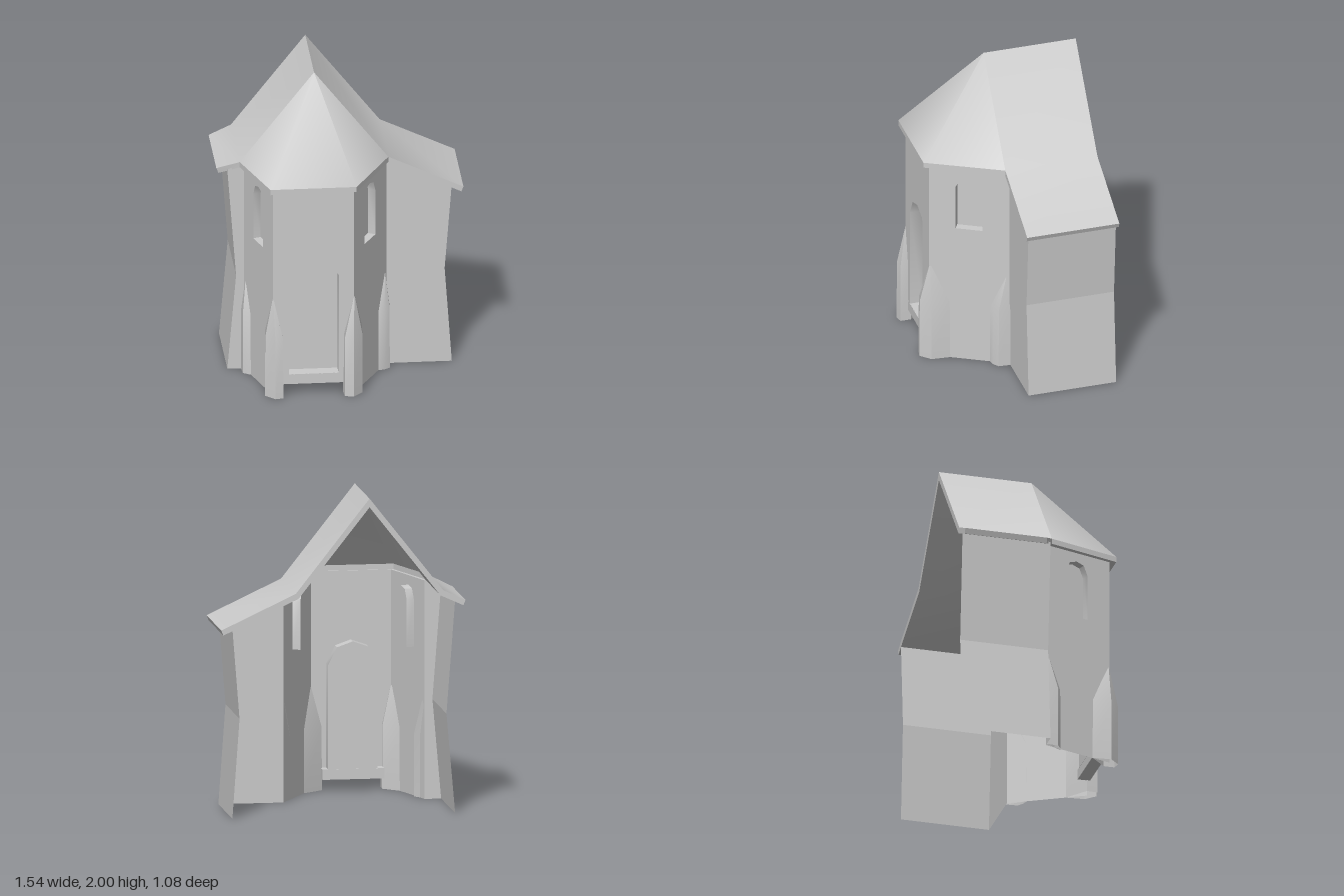
import * as THREE from 'three';
import { toCreasedNormals } from 'three/addons/utils/BufferGeometryUtils.js';

const material = new THREE.MeshStandardMaterial({ color: 0xcccccc, side: THREE.DoubleSide });

function part(name, geometry, parent) {
  const mesh = new THREE.Mesh(geometry, material);
  mesh.name = name;
  parent.add(mesh);
  return mesh;
}

// Skin over a stack of rings; points run left to right seen from outside, rings go upwards
function loft(rings, closed = false, crease = 0.6) {
  const n = rings[0].length, index = [];
  for (let k = 0; k < rings.length - 1; k++) {
    for (let i = 0; i < (closed ? n : n - 1); i++) {
      const a = k * n + i, b = k * n + (i + 1) % n;
      index.push(a, b, b + n, a, b + n, a + n);
    }
  }
  const geometry = new THREE.BufferGeometry();
  geometry.setAttribute('position', new THREE.Float32BufferAttribute(rings.flat(2), 3));
  geometry.setIndex(index);
  return toCreasedNormals(geometry, crease);
}

const outline = (points) => points.map(([x, y]) => new THREE.Vector2(x, y));

// Upright wall between two plan points [x, z], with an optional arched niche sunk into it
function nicheWall(name, a, b, bottom, top, niche, depth, parent) {
  const dx = b[0] - a[0], dz = b[1] - a[1], width = Math.hypot(dx, dz);
  const wall = new THREE.Group();
  wall.name = name;
  wall.position.set(a[0], 0, a[1]);
  wall.rotation.y = Math.atan2(-dz, dx);
  const shape = new THREE.Shape(outline([[0, bottom], [width, bottom], [width, top], [0, top]]));
  shape.holes.push(new THREE.Path(outline(niche)));
  part('wallPanel', new THREE.ShapeGeometry(shape), wall);
  const ring = (z) => niche.map(([x, y]) => [x, y, z]);
  part('nicheReveal', loft([ring(0), ring(-depth)], true), wall);
  part('nicheBack', new THREE.ShapeGeometry(new THREE.Shape(outline(niche))), wall).position.z = -depth;
  parent.add(wall);
}

// Arched opening outline centred on x = c
const arch = (c, half, sill, spring, shoulder, peak) => [
  [c - half, sill], [c + half, sill], [c + half, spring], [c + half * 0.64, shoulder],
  [c, peak], [c - half * 0.64, shoulder], [c - half, spring],
];

// Buttress: straight to y = 0.4, then shrinking into the wall at the given plan point
function buttress(name, plan, [tx, tz], top, parent) {
  const ring = (y, s) => plan.map(([x, z]) => [tx + (x - tx) * s, y, tz + (z - tz) * s]);
  part(name, loft([ring(0, 1), ring(0.4, 0.97), ring(top, 0.06)], true), parent);
}

export function createModel() {
  const model = new THREE.Group();
  model.name = 'house';
  const back = -0.54, wallZ = 0.03;
  const backLeft = [-0.60, wallZ], frontLeft = [-0.46, 0.48];
  const frontRight = [0.045, 0.48], backRight = [0.29, wallZ];

  // House side walls, pinched at the waist
  const sides = { rightSideWall: [[0.70, 0], [0.655, 0.63], [0.70, 1.2]],
    leftSideWall: [[-0.705, 0], [-0.65, 0.63], [-0.705, 1.35]] };
  for (const [name, profile] of Object.entries(sides)) {
    const ends = profile[0][0] > 0 ? [wallZ, back] : [back, wallZ];
    part(name, loft(profile.map(([x, y]) => ends.map((z) => [x, y, z])), false, 0.1), model);
  }

  // House front walls beside the bay
  const fronts = {
    frontWallRight: [[0.29, 0], ...sides.rightSideWall, [0.29, 1.385]],
    frontWallLeft: [[-0.60, 0], [-0.60, 1.39], ...[...sides.leftSideWall].reverse()],
  };
  for (const [name, points] of Object.entries(fronts)) {
    part(name, new THREE.ShapeGeometry(new THREE.Shape(outline(points))), model).position.z = wallZ;
  }

  // Bay: front with the door niche, slanted sides with window niches
  const bay = new THREE.Group();
  bay.name = 'bay';
  model.add(bay);
  nicheWall('doorWall', frontLeft, frontRight, 0.075, 1.38,
    arch(0.255, 0.155, 0.14, 0.8, 0.91, 0.945), 0.08, bay);
  nicheWall('bayRightWall', frontRight, backRight, 0, 1.38,
    arch(0.255, 0.085, 0.94, 1.24, 1.305, 1.32), 0.05, bay);
  nicheWall('bayLeftWall', backLeft, frontLeft, 0, 1.38,
    arch(0.23, 0.08, 0.94, 1.24, 1.305, 1.32), 0.05, bay);
  const sill = part('doorStep', new THREE.BoxGeometry(0.39, 0.065, 0.08), bay);
  sill.position.set(-0.21, 0.107, 0.441);

  // Corner buttresses
  buttress('frontRightButtress',
    [[-0.02, 0.46], [-0.015, 0.53], [0.04, 0.54], [0.10, 0.48], [0.11, 0.36]], [0.05, 0.475], 0.65, bay);
  buttress('frontLeftButtress',
    [[-0.50, 0.36], [-0.51, 0.48], [-0.45, 0.54], [-0.40, 0.53], [-0.40, 0.46]], [-0.46, 0.475], 0.65, bay);
  buttress('backRightButtress',
    [[0.23, 0.14], [0.27, 0.13], [0.305, 0.105], [0.31, 0.03]], [0.28, 0.045], 0.62, bay);
  buttress('backLeftButtress',
    [[-0.62, 0.03], [-0.615, 0.105], [-0.58, 0.13], [-0.55, 0.14]], [-0.59, 0.045], 0.62, bay);

  // Bay roof: half pyramid with a narrow fascia
  const apex = [-0.165, 2, 0.06];
  const eave = [[-0.63, 0.06], [-0.48, 0.52], [0.06, 0.52], [0.30, 0.06]];
  const eaveRing = (y) => eave.map(([x, z]) => [x, y, z]);
  part('bayRoof', loft([eaveRing(1.41), eave.map(() => apex)], false, 1.2), bay);
  part('bayRoofFascia', loft([eaveRing(1.375), eaveRing(1.41)]), bay);
  // Soffit between the fascia and the wall tops
  part('bayRoofSoffit', loft([[backLeft, frontLeft, frontRight, backRight].map(([x, z]) => [x, 1.378, z]),
    eaveRing(1.375)]), bay);

  // Main roof: bent slab with a long right and a short left slope
  const top = [[-0.77, 1.345], [-0.63, 1.41], [-0.165, 2], [0.30, 1.41], [0.77, 1.19]];
  const under = [[0.757, 1.158], [0.283, 1.378], [-0.165, 1.945], [-0.612, 1.378], [-0.757, 1.312]];
  const roof = new THREE.ExtrudeGeometry(new THREE.Shape(outline([...top, ...under])),
    { depth: 0.06 - back, bevelEnabled: false });
  roof.translate(0, 0, back);
  // Clip the front corner of the left eave
  const p = roof.attributes.position;
  for (let i = 0; i < p.count; i++) {
    if (p.getX(i) < -0.7 && p.getZ(i) > 0) p.setZ(i, -0.01);
  }
  part('mainRoof', toCreasedNormals(roof, 0.6), model);
  return model;
}
